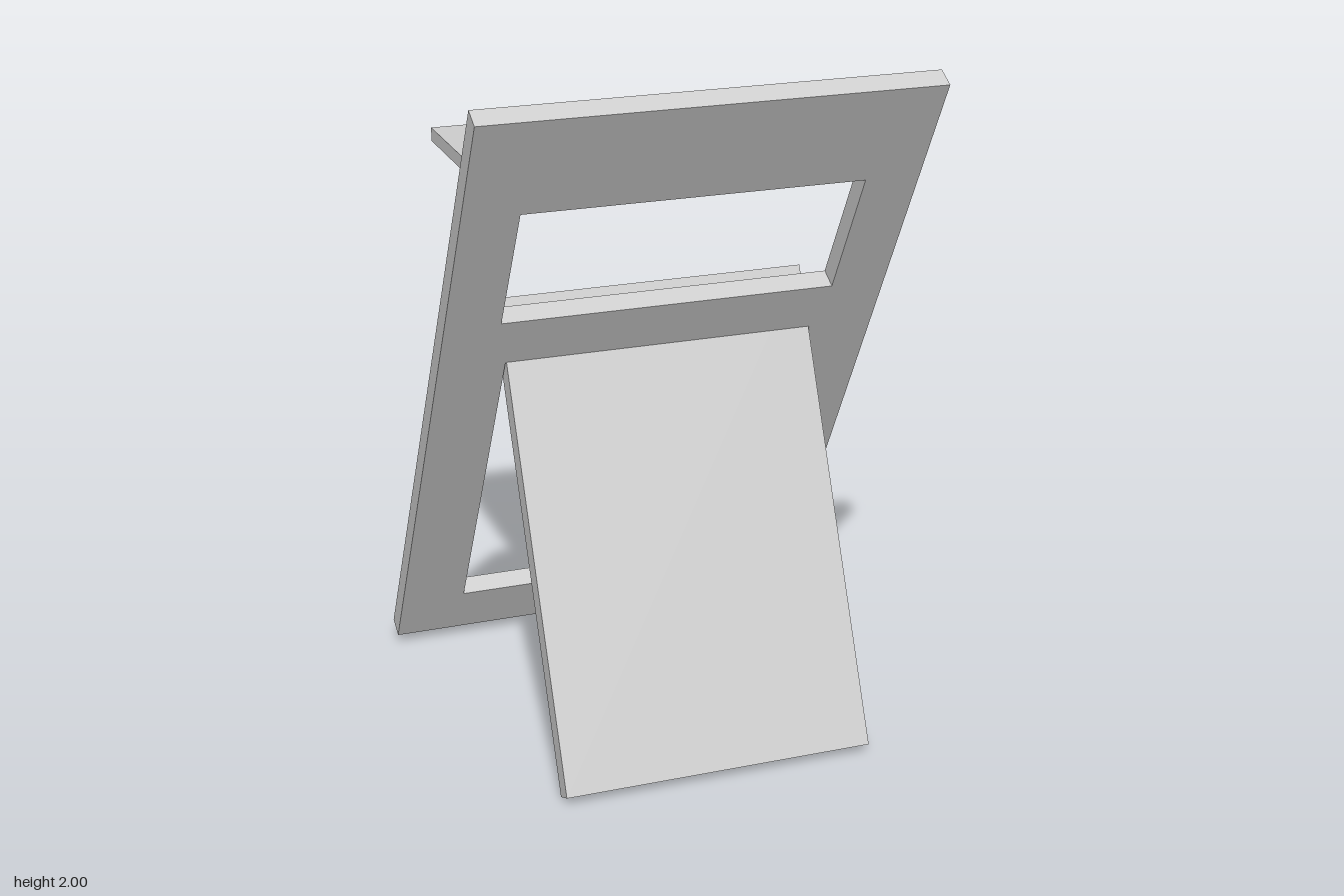
import * as THREE from 'three';

const THICK = 0.062;

// Rectangle outline, usable as a shape or a hole
function rect(PathType, halfWidth, y0, y1) {
  const p = new PathType();
  p.moveTo(-halfWidth, y0);
  p.lineTo(halfWidth, y0);
  p.lineTo(halfWidth, y1);
  p.lineTo(-halfWidth, y1);
  p.closePath();
  return p;
}

export function createModel() {
  const model = new THREE.Group();
  model.name = 'foldingChair';
  const grey = new THREE.MeshStandardMaterial({ color: 0xcccccc });
  grey.name = 'light grey';

  const add = (name, geometry, x, y, z, tilt = 0) => {
    const mesh = new THREE.Mesh(geometry, grey);
    mesh.name = name;
    mesh.position.set(x, y, z);
    mesh.rotation.x = tilt;
    model.add(mesh);
  };

  // Tall frame leaning forward, with a handle slot and a lower opening
  const outline = rect(THREE.Shape, 0.665, 0, 2.223);
  outline.holes.push(rect(THREE.Path, 0.5, 1.455, 1.885), rect(THREE.Path, 0.467, 0.176, 1.284));
  const frame = new THREE.ExtrudeGeometry(outline, { depth: THICK, bevelEnabled: false });
  frame.translate(0, 0, -THICK);
  add('frame', frame, 0, 0.03, -0.546, THREE.MathUtils.degToRad(29.24));

  // Swinging leg panel passing through the lower opening
  add('legPanel', new THREE.BoxGeometry(0.928, 1.425, THICK), 0, 0.66, 0.275, THREE.MathUtils.degToRad(-24.7));

  // Flat seat, its front edge set into the frame
  add('seat', new THREE.BoxGeometry(1.025, 0.04, 0.768), -0.018, 1.696, -0.049);

  return model;
}
